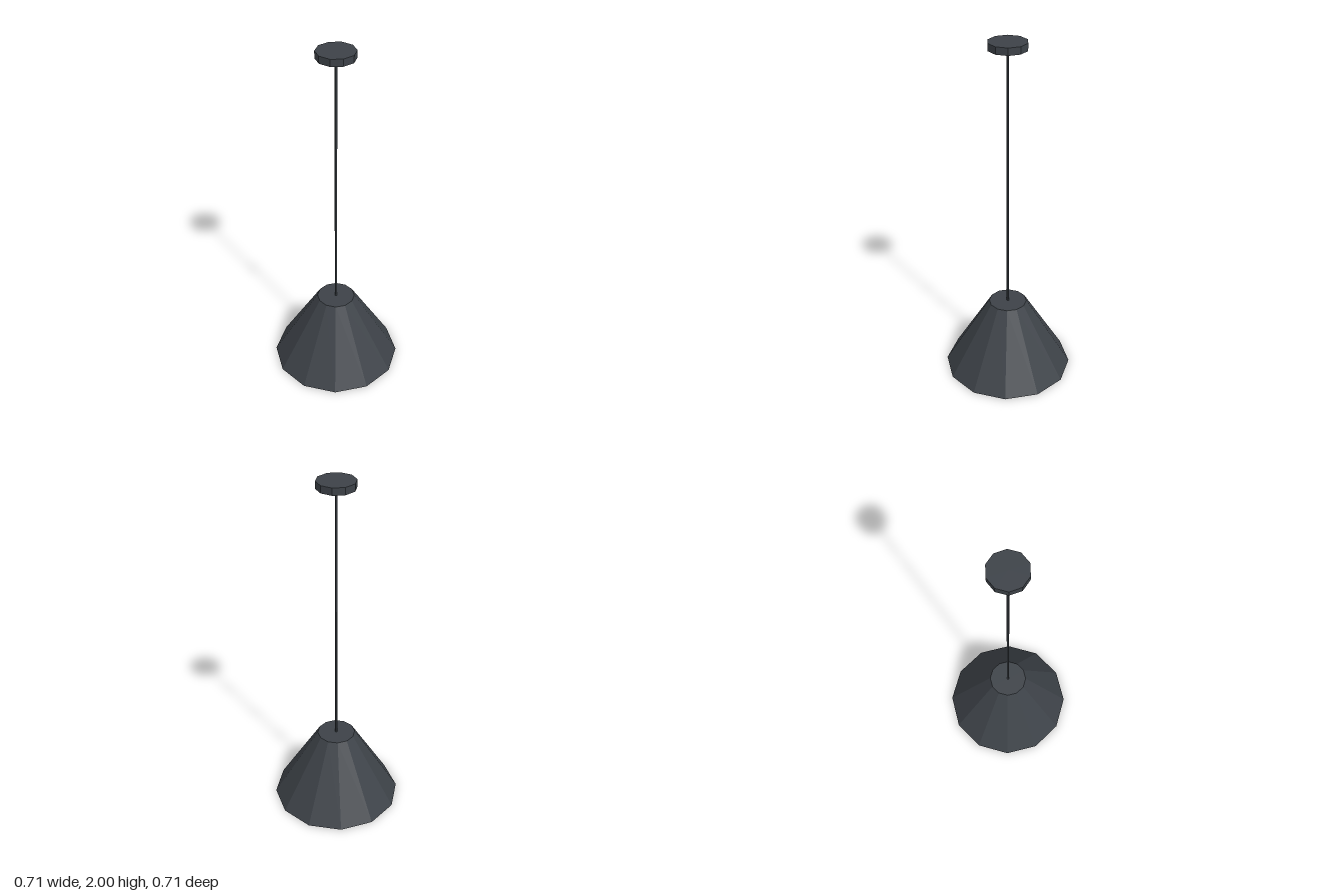
import * as THREE from 'three';

const flat = (name, color) => {
  const m = new THREE.MeshStandardMaterial({ color, flatShading: true });
  m.name = name;
  return m;
};

export function createModel() {
  const charcoal = flat('charcoal', 0x3d4248);
  const offWhite = flat('offWhite', 0xe8e6de);
  const warmGlass = flat('warmGlass', 0xeedda6);

  const lamp = new THREE.Group();
  lamp.name = 'pendantLamp';

  const add = (name, geometry, material, y = 0) => {
    const mesh = new THREE.Mesh(geometry, material);
    mesh.name = name;
    mesh.position.y = y;
    lamp.add(mesh);
  };
  // twelve-sided shell with flat sides facing the axes
  const shell = (points) =>
    new THREE.LatheGeometry(points.map(([r, y]) => new THREE.Vector2(r, y)), 12, Math.PI / 12);

  // ceiling mount and cord
  add('ceilingMount', new THREE.CylinderGeometry(0.106, 0.106, 0.04, 10), charcoal, 1.98);
  add('cord', new THREE.CylinderGeometry(0.007, 0.007, 1.54, 6), charcoal, 1.195);

  // shade: dark outside with rim and cap, pale lining
  add('shadeOutside', shell([[0.361, 0], [0.37, 0], [0.109, 0.435], [0, 0.435]]), charcoal);
  add('shadeLining', shell([[0, 0.425], [0.106, 0.425], [0.361, 0]]), offWhite);

  // socket and bulb
  add('socket', new THREE.CylinderGeometry(0.04, 0.04, 0.17, 8), charcoal, 0.34);
  add('bulb', new THREE.SphereGeometry(0.08, 8, 6), warmGlass, 0.205);

  return lamp;
}
